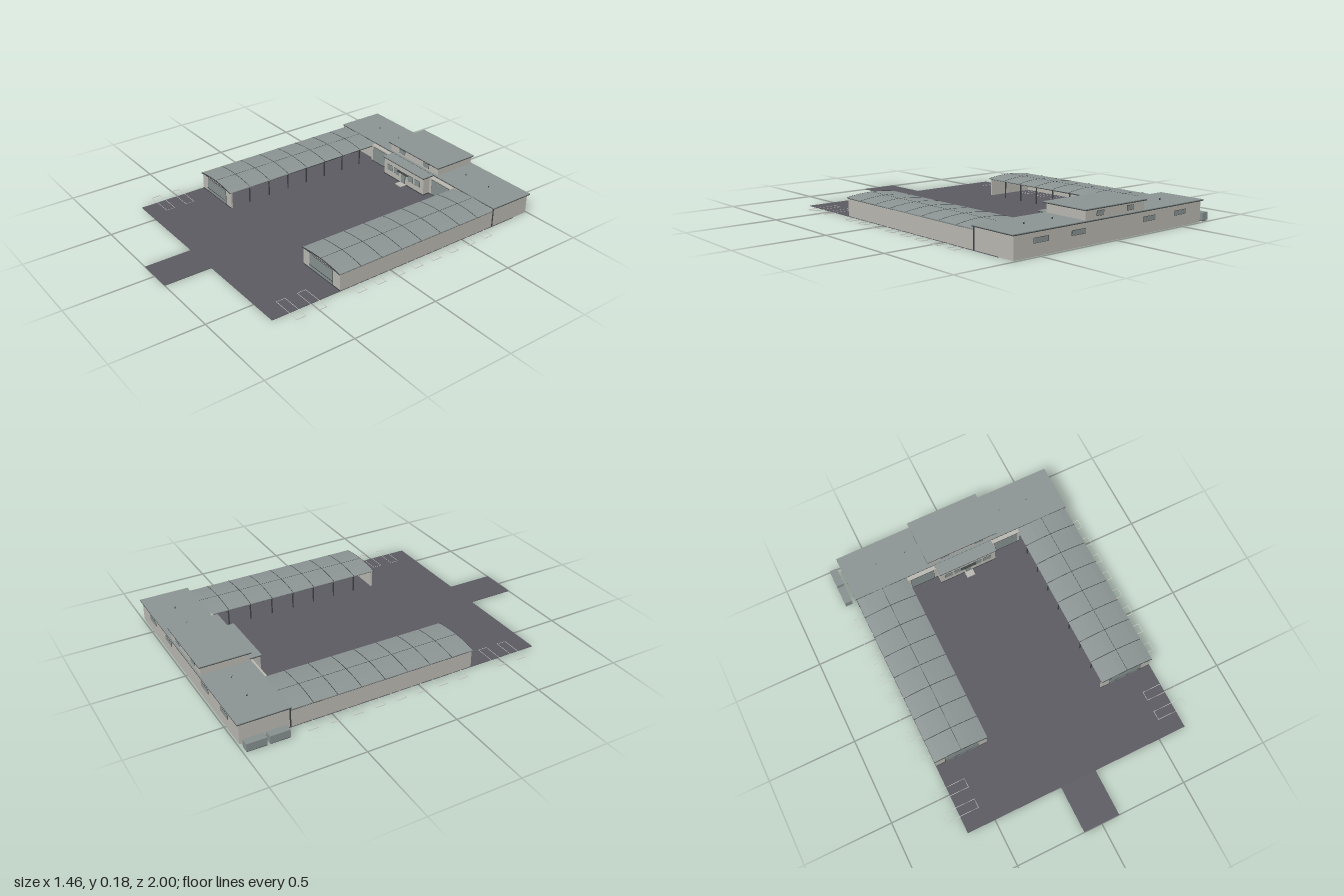
import * as THREE from 'three';

const mat = (name, color, side = THREE.FrontSide) => {
  const m = new THREE.MeshStandardMaterial({ color, side });
  m.name = name;
  return m;
};

export function createModel() {
  const root = new THREE.Group();
  root.name = 'courtyardStation';
  const wall = mat('wallPlaster', 0xb9b7b0);
  const roof = mat('roofGrey', 0x8b9393);
  const trim = mat('darkTrim', 0x3c4142);
  const glass = mat('windowGlass', 0x86908f);
  const asphalt = mat('asphalt', 0x5b5a61);
  const paint = mat('markingPaint', 0xd2d2cc);

  // Box given by its limits on each axis
  const box = (name, m, x0, x1, y0, y1, z0, z1, parent = root) => {
    const mesh = new THREE.Mesh(new THREE.BoxGeometry(x1 - x0, y1 - y0, z1 - z0), m);
    mesh.position.set((x0 + x1) / 2, (y0 + y1) / 2, (z0 + z1) / 2);
    mesh.name = name;
    parent.add(mesh);
    return mesh;
  };
  // Roof slab over a dark fascia
  const flatRoof = (name, x0, x1, y, z0, z1) => {
    box(name + 'Fascia', trim, x0, x1, y, y + 0.004, z0, z1);
    box(name, roof, x0, x1, y + 0.004, y + 0.008, z0, z1);
  };
  // Thin framed pane on a wall facing +z (dir 1) or -z (dir -1)
  const pane = (name, x, y, w, h, z, dir = 1) => {
    const g = new THREE.Group();
    g.name = name;
    box('frame', trim, -w / 2 - 0.002, w / 2 + 0.002, -h / 2 - 0.002, h / 2 + 0.002, -0.001, 0.0015, g);
    box('glass', glass, -w / 2, w / 2, -h / 2, h / 2, -0.001, 0.003, g);
    g.position.set(x, y, z);
    if (dir < 0) g.rotation.y = Math.PI;
    root.add(g);
    return g;
  };

  // Ground
  box('yard', asphalt, -0.66, 0.66, 0, 0.003, -0.89, 0.73);
  box('driveway', asphalt, -0.105, 0.105, 0, 0.003, 0.73, 1);

  // Main block, raised centre and entrance lobby
  box('mainBlock', wall, -0.657, 0.657, 0.001, 0.115, -0.99, -0.722);
  flatRoof('mainRoof', -0.668, 0.668, 0.115, -1, -0.718);
  box('upperFloor', wall, -0.207, 0.207, 0.12, 0.17, -0.99, -0.73);
  flatRoof('upperRoof', -0.218, 0.218, 0.17, -1, -0.718);
  box('lobby', wall, -0.174, 0.174, 0.003, 0.11, -0.73, -0.652);
  flatRoof('lobbyRoof', -0.179, 0.179, 0.11, -0.72, -0.645);
  box('lobbyPlinth', trim, -0.175, 0.175, 0.003, 0.009, -0.73, -0.651);

  // Entrance door, canopy and step
  pane('entranceDoor', 0, 0.04, 0.03, 0.06, -0.651);
  box('entranceCanopy', trim, -0.047, 0.047, 0.073, 0.077, -0.652, -0.638);
  box('entranceStep', wall, -0.025, 0.025, 0.003, 0.009, -0.652, -0.612);

  for (const s of [-1, 1]) {
    // Windows
    for (const x of [0.062, 0.123]) pane('lobbyWindow', s * x, 0.061, 0.043, 0.032, -0.652);
    pane('upperWindow', s * 0.106, 0.147, 0.046, 0.022, -0.73);
    pane('rearUpperWindow', s * 0.106, 0.147, 0.046, 0.022, -0.99, -1);
    for (const x of [0.25, 0.49]) pane('rearWindow', s * x, 0.075, 0.088, 0.022, -0.99, -1);

    // Forward wall bays with wide glazed doors
    const [a, b] = s < 0 ? [-0.352, -0.174] : [0.174, 0.352];
    box('bayWall', wall, a, b, 0.003, 0.108, -0.73, -0.698);
    box('bayPlinth', trim, a, b, 0.003, 0.008, -0.73, -0.697);
    pane('bayDoor', s * 0.266, 0.056, 0.14, 0.086, -0.698);

    // Roof vents
    for (const x of [0.3, 0.48]) {
      const vent = new THREE.Group();
      vent.name = 'roofVent';
      const pipe = new THREE.Mesh(new THREE.CylinderGeometry(0.003, 0.003, 0.014, 8), trim);
      const cap = new THREE.Mesh(new THREE.CylinderGeometry(0.005, 0.007, 0.004, 8), roof);
      pipe.name = 'ventPipe';
      cap.name = 'ventCap';
      pipe.position.y = 0.007;
      cap.position.y = 0.014;
      vent.add(pipe, cap);
      vent.position.set(s * x, 0.122, -0.865);
      root.add(vent);
    }
    // Corner pipes
    box('downpipe', trim, s * 0.659 - 0.002, s * 0.659 + 0.002, 0.003, 0.115, -0.727, -0.721);
  }

  // Cross-section of the shallow curved wing roof
  const half = 0.156;
  const rise = (x) => 0.104 + 0.014 * (1 - (x / half) ** 2);
  const steps = [-1, -0.75, -0.5, -0.25, 0, 0.25, 0.5, 0.75, 1].map((t) => t * half);
  const arch = (name, m, low, lift, z0, z1, parent) => {
    const pts = steps.map((x) => new THREE.Vector2(x, rise(x) + lift));
    const under = low === null ? steps.map((x) => new THREE.Vector2(x, rise(x) - 0.005)).reverse()
      : [new THREE.Vector2(half, low), new THREE.Vector2(-half, low)];
    const geo = new THREE.ExtrudeGeometry(new THREE.Shape([...pts, ...under]), { depth: z1 - z0, bevelEnabled: false });
    const mesh = new THREE.Mesh(geo, m);
    mesh.position.z = z0;
    mesh.name = name;
    parent.add(mesh);
  };

  // Open vehicle wings; local +x is the outer side, mirrored by position
  for (const s of [-1, 1]) {
    const wing = new THREE.Group();
    wing.name = s < 0 ? 'rightWing' : 'leftWing';
    wing.position.x = s * 0.505;
    root.add(wing);
    const o = s * 0.149;
    box('outerWall', wall, o - 0.004, o + 0.004, 0.003, 0.104, -0.722, 0.325, wing);
    box('endWall', wall, -0.153, 0.153, 0.003, 0.1, 0.315, 0.325, wing);
    arch('gable', wall, 0.098, -0.002, 0.315, 0.325, wing);
    arch('wingRoof', roof, null, 0, -0.72, 0.33, wing);
    arch('roofEdge', trim, null, 0.0008, 0.33, 0.332, wing);
    for (const e of [-1, 1])
      box('eaveBeam', trim, e * 0.154 - 0.002, e * 0.154 + 0.002, 0.098, 0.103, -0.72, 0.328, wing);
    box('endBeam', trim, -0.153, 0.153, 0.098, 0.101, 0.324, 0.327, wing);
    box('endPlinth', trim, -0.153, 0.153, 0.003, 0.008, 0.324, 0.3265, wing);
    box('roofRidge', trim, -0.001, 0.001, 0.117, 0.1186, -0.72, 0.33, wing);

    // Glazed end door with rail
    pane('endDoor', s * 0.503, 0.05, 0.195, 0.08, 0.325);
    box('endDoorRail', trim, -0.1, 0.096, 0.028, 0.031, 0.325, 0.329, wing);

    // Roof seams and courtyard posts
    for (let i = 1; i < 8; i++) {
      const z = 0.33 - i * 0.133;
      arch('roofSeam', trim, null, 0.0008, z - 0.0015, z + 0.0015, wing);
      box('courtyardPost', trim, -s * 0.148 - 0.003, -s * 0.148 + 0.003, 0.003, 0.103, z - 0.003, z + 0.003, wing);
    }
  }

  // Parking bay outlines along both sides
  for (const s of [-1, 1]) {
    for (const i of [0, 1, 2, 3, 4, 5, 6, 7, 9, 10]) {
      const bay = new THREE.Group();
      bay.name = 'parkingBay';
      for (const e of [-1, 1]) {
        box('longLine', paint, -0.0885, 0.0885, 0.0005, 0.0036, e * 0.026 - 0.001, e * 0.026 + 0.001, bay);
        box('shortLine', paint, e * 0.0875 - 0.001, e * 0.0875 + 0.001, 0.0005, 0.0036, -0.026, 0.026, bay);
      }
      bay.position.set(s * 0.638, 0, -0.635 + i * 0.124);
      root.add(bay);
    }
  }

  // Service units beside the main block
  for (const z of [-0.985, -0.865]) {
    box('serviceUnit', glass, -0.729, -0.686, 0.004, 0.046, z, z + 0.107);
    box('serviceUnitBase', trim, -0.727, -0.688, 0, 0.004, z + 0.002, z + 0.105);
  }
  return root;
}
